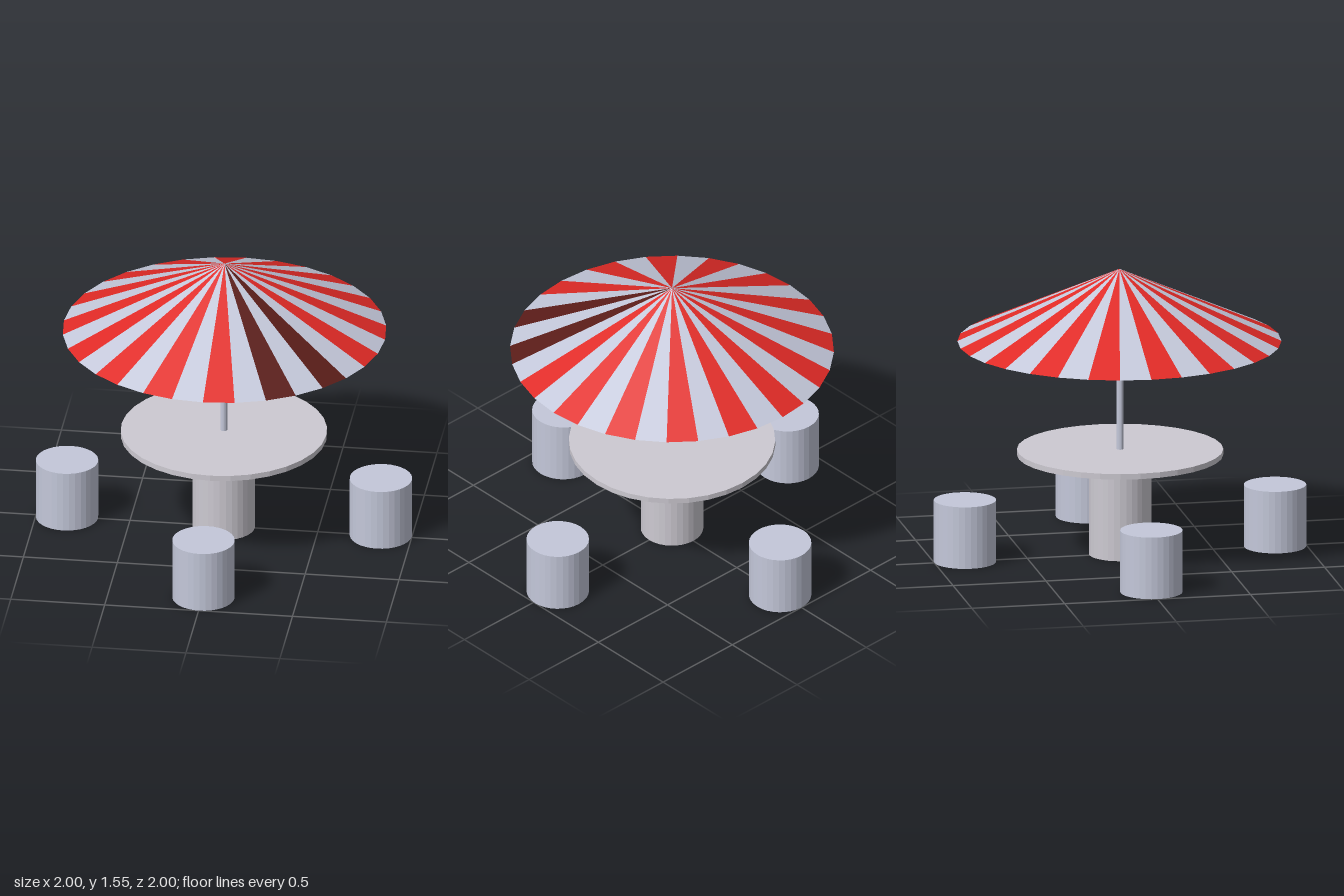
import * as THREE from 'three';
import { mergeGeometries } from 'three/addons/utils/BufferGeometryUtils.js';

const paint = (color, side = THREE.FrontSide) =>
  new THREE.MeshStandardMaterial({ color, flatShading: true, side });

function add(parent, name, geometry, material, x = 0, y = 0, z = 0) {
  const mesh = new THREE.Mesh(geometry, material);
  mesh.name = name;
  mesh.position.set(x, y, z);
  parent.add(mesh);
  return mesh;
}

export function createModel() {
  const model = new THREE.Group();
  model.name = 'parasolTable';
  const stone = paint(0xcdcad2);
  const cool = paint(0xc4c8da);

  // Table: round top with a shallow tapered underside on a drum pedestal
  const table = new THREE.Group();
  table.name = 'table';
  model.add(table);
  const profile = [[0, 0.515], [0.165, 0.515], [0.545, 0.54], [0.545, 0.57], [0, 0.57]]
    .map(([r, y]) => new THREE.Vector2(r, y));
  add(table, 'tableTop', new THREE.LatheGeometry(profile, 32), stone);
  add(table, 'pedestal', new THREE.CylinderGeometry(0.165, 0.165, 0.52, 32), stone, 0, 0.26, 0);

  // Parasol pole, ending at the peak of the lining
  const poleBottom = 0.56, poleTop = 1.36;
  add(model, 'pole', new THREE.CylinderGeometry(0.018, 0.018, poleTop - poleBottom, 16),
    cool, 0, (poleBottom + poleTop) / 2, 0);

  // Canopy: alternating wedges, two of the red ones darker
  const canopy = new THREE.Group();
  canopy.name = 'canopy';
  canopy.position.set(0.003, 1.157, -0.003);
  model.add(canopy);
  const count = 32, radius = 0.855, rise = 0.393, step = Math.PI * 2 / count;
  const wedges = { redStripes: [], darkStripes: [], paleStripes: [] };
  for (let i = 0; i < count; i++) {
    const kind = i % 2 ? 'paleStripes' : (i === 2 || i === 4) ? 'darkStripes' : 'redStripes';
    wedges[kind].push(new THREE.ConeGeometry(radius, rise, 1, 1, true, i * step, step));
  }
  const colors = { redStripes: 0xe02a26, darkStripes: 0x5a1c18, paleStripes: 0xc4c8da };
  for (const [name, parts] of Object.entries(wedges)) {
    add(canopy, name, mergeGeometries(parts), paint(colors[name]), 0, rise / 2, 0);
  }

  // Plain lining, shallower than the outer cone and seen from below
  const liningRise = 0.2;
  add(canopy, 'lining', new THREE.ConeGeometry(radius, liningRise, count, 1, true),
    paint(0xc4c8da, THREE.BackSide), 0, liningRise / 2, 0);

  // Four drum stools around the table
  const stoolHeight = 0.335;
  const stoolGeometry = new THREE.CylinderGeometry(0.165, 0.165, stoolHeight, 32);
  const spots = { leftStool: [0.835, -0.01], rightStool: [-0.835, 0],
    frontStool: [0.004, 0.835], backStool: [0, -0.835] };
  for (const [name, [x, z]] of Object.entries(spots)) {
    add(model, name, stoolGeometry, cool, x, stoolHeight / 2, z);
  }
  return model;
}
